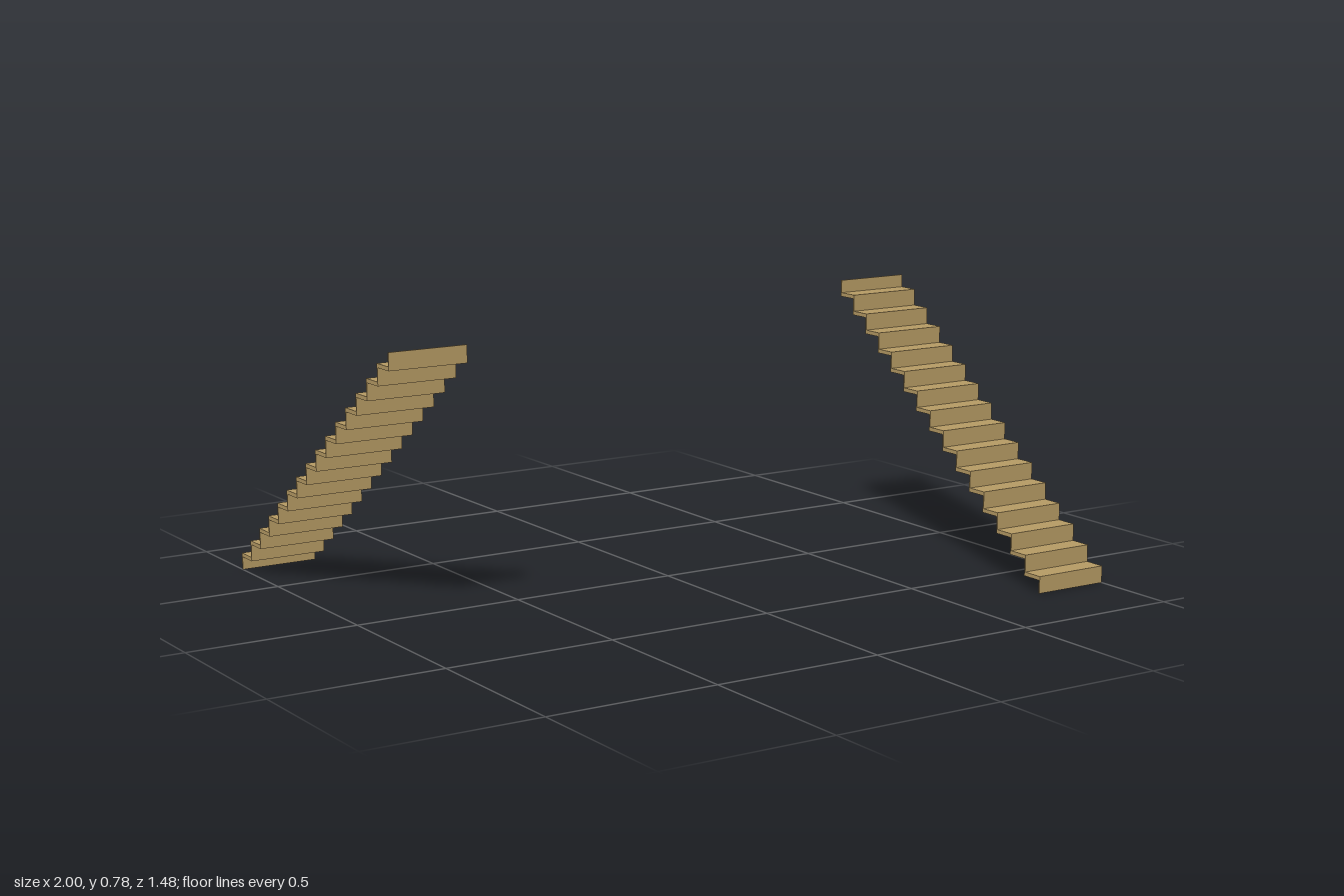
import * as THREE from 'three';

const WIDTH = 0.232, RISE = 0.0493, RUN = 0.0635, TREAD = 0.0115, BOARD = 0.004;
const STEPS = 15, FRONT = 0.742;

export function createModel() {
  const model = new THREE.Group();
  model.name = 'stairPair';
  const wood = new THREE.MeshStandardMaterial({ color: 0xb99d66 });
  const riserHeight = RISE - TREAD;
  const riserGeometry = new THREE.BoxGeometry(WIDTH, riserHeight, BOARD);
  const treadGeometry = new THREE.BoxGeometry(WIDTH, TREAD, RUN + BOARD);

  // One open flight climbing towards -z
  function flight(name) {
    const group = new THREE.Group();
    group.name = name;
    const add = (part, geometry, y, z) => {
      const mesh = new THREE.Mesh(geometry, wood);
      mesh.name = part;
      mesh.position.set(1 - WIDTH / 2, y, z);
      group.add(mesh);
    };
    // The last riser stands alone above the top tread
    for (let i = 0; i <= STEPS; i++) {
      const z = FRONT - BOARD / 2 - i * RUN;
      add('riser', riserGeometry, i * RISE + riserHeight / 2, z);
      if (i < STEPS) add('tread', treadGeometry, (i + 1) * RISE - TREAD / 2, z - RUN / 2);
    }
    return group;
  }

  // Two flights facing opposite ways
  const left = flight('leftFlight');
  const right = flight('rightFlight');
  right.rotation.y = Math.PI;
  model.add(left, right);
  return model;
}
